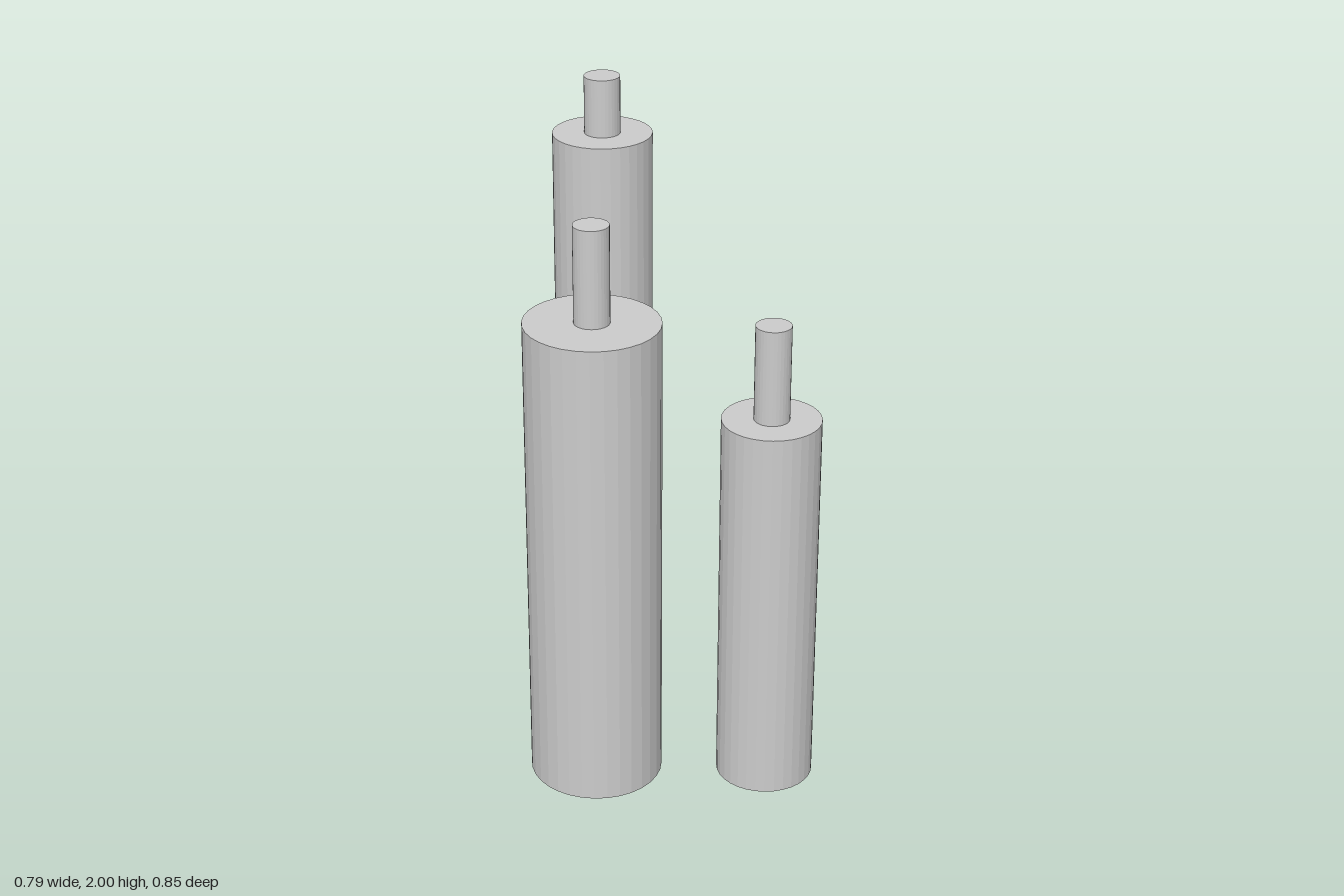
import * as THREE from 'three';

const material = new THREE.MeshStandardMaterial({ color: 0xcccccc, flatShading: true });

// Upright cylinder between two heights, with separate x and z radii
function column(name, rx, rz, y0, y1) {
  const geometry = new THREE.CylinderGeometry(1, 1, y1 - y0, 32);
  geometry.scale(rx, 1, rz);
  geometry.translate(0, (y0 + y1) / 2, 0);
  const mesh = new THREE.Mesh(geometry, material);
  mesh.name = name;
  return mesh;
}

// Thick column with a thin pin standing on its top
function candle({ name, x, z, rx, rz, height, top }) {
  const group = new THREE.Group();
  group.name = name;
  group.add(column('body', rx, rz, 0, height));
  group.add(column('wick', 0.051, 0.051, height, top));
  group.position.set(x, 0, z);
  return group;
}

export function createModel() {
  const model = new THREE.Group();
  model.name = 'candles';
  [
    { name: 'tallCandle', x: -0.031, z: -0.286, rx: 0.1415, rz: 0.1415, height: 1.834, top: 2 },
    { name: 'wideCandle', x: -0.2025, z: 0.084, rx: 0.193, rz: 0.198, height: 1.43, top: 1.716 },
    { name: 'shortCandle', x: 0.2535, z: 0.284, rx: 0.1415, rz: 0.1415, height: 1.147, top: 1.43 },
  ].forEach((spec) => model.add(candle(spec)));
  return model;
}
